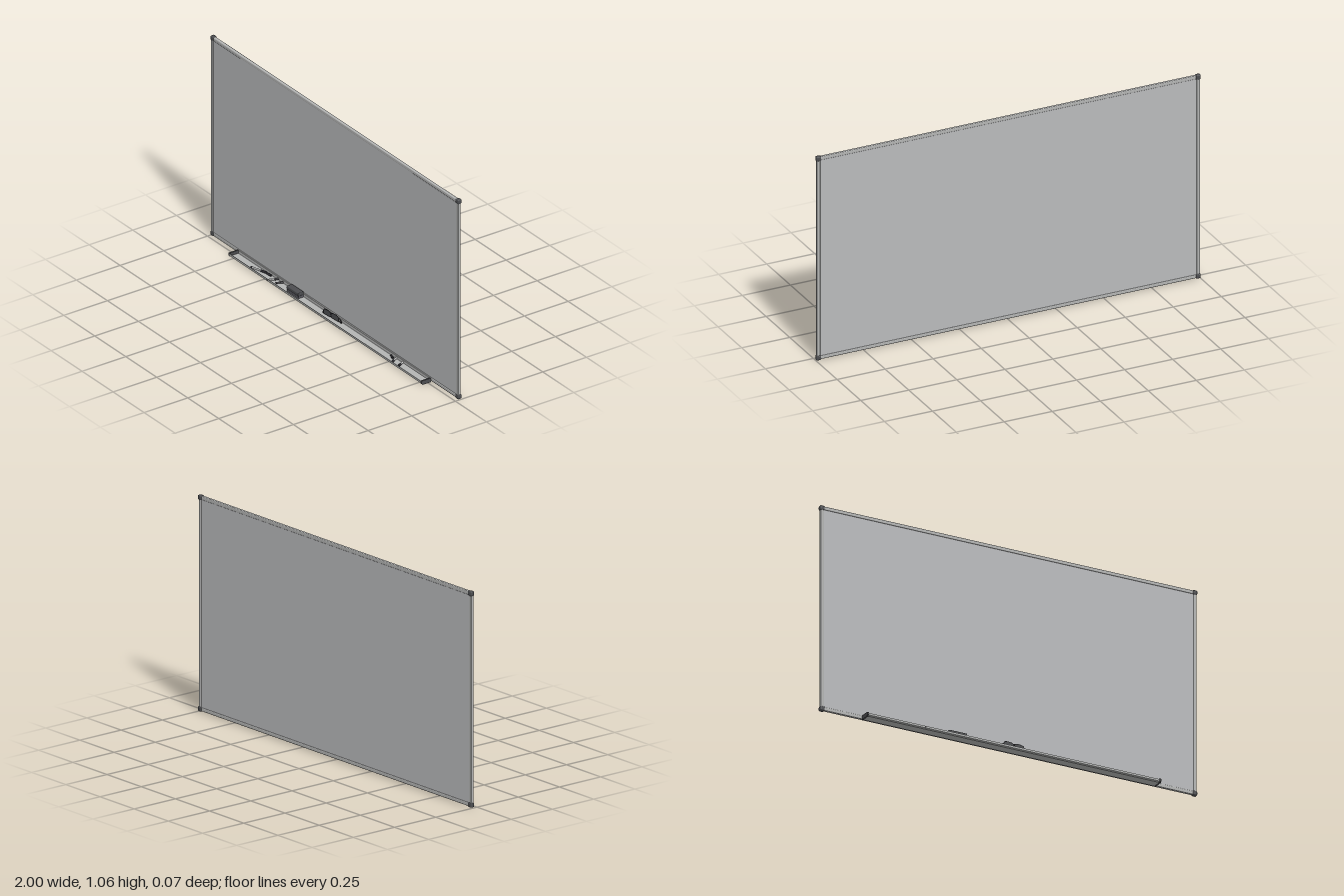
import * as THREE from 'three';
import { RoundedBoxGeometry } from 'three/addons/geometries/RoundedBoxGeometry.js';

const material = (name, color, side = THREE.FrontSide) => {
  const m = new THREE.MeshStandardMaterial({ color, side });
  m.name = name;
  return m;
};

export function createModel() {
  const root = new THREE.Group();
  root.name = 'whiteboard';
  const boardGrey = material('boardGrey', 0xb9babc);
  const aluminium = material('aluminium', 0xb4b5b4);
  const plastic = material('darkPlastic', 0x4c4d50);
  const black = material('black', 0x2c2b30);
  const felt = material('eraserFelt', 0x5a5960);
  const white = material('markerWhite', 0xc8c8c8);

  const add = (name, geo, mat, x = 0, y = 0, z = 0, parent = root) => {
    const m = new THREE.Mesh(geo, mat);
    m.name = name;
    m.position.set(x, y, z);
    parent.add(m);
    return m;
  };
  const box = (w, h, d) => new THREE.BoxGeometry(w, h, d);

  // Writing panel and its frame
  const zc = -0.025, top = 1.047, bottom = 0.014, side = 0.988;
  add('panel', box(1.97, 1.03, 0.01), boardGrey, 0, (top + bottom) / 2, zc);
  for (const y of [bottom, top]) {
    add('horizontalRail', new RoundedBoxGeometry(1.96, 0.018, 0.016, 2, 0.004), aluminium, 0, y, zc);
  }
  for (const s of [-1, 1]) {
    add('verticalRail', new RoundedBoxGeometry(0.018, top - bottom, 0.016, 2, 0.004),
      aluminium, s * side, (top + bottom) / 2, zc);
    for (const y of [bottom, top]) {
      add('cornerCap', new RoundedBoxGeometry(0.024, 0.024, 0.022, 3, 0.006), plastic, s * side, y, zc - 0.001);
    }
  }

  // Pen tray: a shallow channel extruded along x
  const extrudeAlongX = (points, length) => {
    const shape = new THREE.Shape(points.map(([z, y]) => new THREE.Vector2(-z, y)));
    const g = new THREE.ExtrudeGeometry(shape, { depth: length, bevelEnabled: false });
    g.translate(0, 0, -length / 2);
    g.rotateY(Math.PI / 2);
    return g;
  };
  add('tray', extrudeAlongX([
    [-0.017, 0.001], [0.030, 0.001], [0.035, 0.006], [0.035, 0.016], [0.032, 0.016],
    [0.032, 0.008], [0.029, 0.005], [-0.014, 0.005], [-0.014, 0.020], [-0.017, 0.020],
  ], 1.55), aluminium);
  const capProfile = [[-0.017, 0], [0.031, 0], [0.037, 0.006], [0.037, 0.018], [0.033, 0.021], [-0.017, 0.021]];
  for (const s of [-1, 1]) {
    add('trayEndCap', extrudeAlongX(capProfile, 0.008), plastic, s * 0.775);
  }

  // Eraser: felt pad under a plastic grip
  const eraser = new THREE.Group();
  eraser.name = 'eraser';
  eraser.position.set(-0.288, 0.005, 0.003);
  root.add(eraser);
  add('eraserFelt', box(0.092, 0.012, 0.030), felt, 0, 0.006, 0, eraser);
  add('eraserGrip', new RoundedBoxGeometry(0.096, 0.017, 0.033, 2, 0.004), plastic, 0, 0.0205, 0, eraser);

  // Markers: barrel, cap and end plug along local x
  const rod = (r, length) => new THREE.CylinderGeometry(r, r, length, 12).rotateZ(Math.PI / 2);
  const marker = (x, z, length, turn, barrel) => {
    const g = new THREE.Group();
    g.name = 'marker';
    g.position.set(x, 0.010, z);
    g.rotation.y = turn;
    root.add(g);
    add('markerBarrel', rod(0.0045, length * 0.62), barrel, -length * 0.14, 0, 0, g);
    add('markerCap', rod(0.0055, length * 0.34), black, length * 0.33, 0, 0, g);
    add('markerPlug', rod(0.005, length * 0.08), black, -length * 0.46, 0, 0, g);
  };
  marker(-0.575, 0.008, 0.09, 0.28, white);
  marker(-0.525, -0.003, 0.06, 0.1, black);
  marker(-0.46, 0.010, 0.056, 1.15, white);
  marker(-0.415, 0.002, 0.036, 1.1, black);
  marker(0.515, 0.004, 0.056, -1.1, white);
  marker(0.565, 0.002, 0.042, -1.1, white);
  marker(0.485, -0.002, 0.026, -0.3, black);

  // Folded spectacles resting on the tray
  const glasses = new THREE.Group();
  glasses.name = 'glasses';
  glasses.position.set(0.012, 0.006, 0.008);
  glasses.rotation.y = 0.07;
  root.add(glasses);
  const lens = new THREE.Shape();
  lens.moveTo(-0.024, 0.010);
  lens.lineTo(0.024, 0.010);
  lens.quadraticCurveTo(0.029, 0.018, 0.024, 0.030);
  lens.quadraticCurveTo(0.020, 0.036, 0, 0.036);
  lens.quadraticCurveTo(-0.020, 0.036, -0.024, 0.030);
  lens.quadraticCurveTo(-0.029, 0.018, -0.024, 0.010);
  const lensGeo = new THREE.ExtrudeGeometry(lens, { depth: 0.004, bevelEnabled: false, curveSegments: 8 });
  for (const s of [-1, 1]) {
    add('lens', lensGeo, plastic, s * 0.029, 0, 0, glasses);
    const rim = new THREE.CatmullRomCurve3(
      lens.getSpacedPoints(20).slice(0, 20).map(p => new THREE.Vector3(p.x, p.y, 0.002)), true);
    add('rim', new THREE.TubeGeometry(rim, 40, 0.0022, 6, true), black, s * 0.029, 0, 0, glasses);
    const arm = new THREE.CatmullRomCurve3([
      new THREE.Vector3(s * 0.052, 0.028, 0.002), new THREE.Vector3(s * 0.062, 0.018, -0.003),
      new THREE.Vector3(s * 0.068, 0.004, -0.006), new THREE.Vector3(s * 0.03, 0.003, -0.010),
      new THREE.Vector3(-s * 0.04, 0.003, -0.008)]);
    add('foldedArm', new THREE.TubeGeometry(arm, 24, 0.0025, 6), black, 0, 0, 0, glasses);
  }
  add('bridge', box(0.010, 0.005, 0.004), black, 0, 0.030, 0.002, glasses);
  return root;
}
